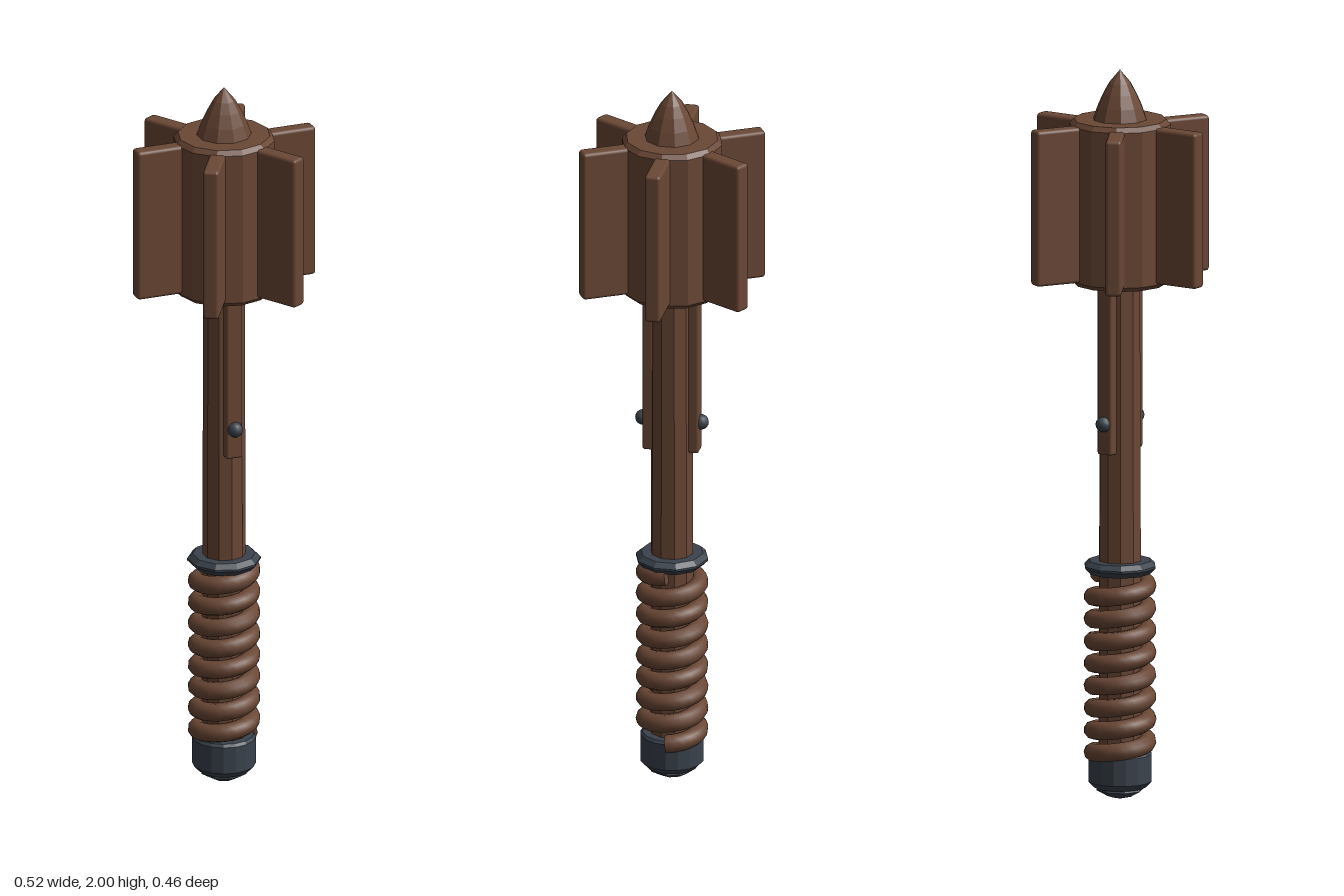
import * as THREE from 'three';
import { RoundedBoxGeometry } from 'three/addons/geometries/RoundedBoxGeometry.js';

const wood = new THREE.MeshStandardMaterial({ color: 0x6a4735 });
wood.name = 'brown';
const iron = new THREE.MeshStandardMaterial({ color: 0x3a424c });
iron.name = 'darkIron';

// Faceted surface of revolution from a bottom-to-top profile of [radius, y]
function turned(name, profile, sides, material) {
  const points = profile.map(([r, y]) => new THREE.Vector2(r, y));
  const geometry = new THREE.LatheGeometry(points, sides).toNonIndexed();
  geometry.computeVertexNormals();
  const mesh = new THREE.Mesh(geometry, material);
  mesh.name = name;
  return mesh;
}

function block(name, w, h, d, bevel) {
  const mesh = new THREE.Mesh(new RoundedBoxGeometry(w, h, d, 2, bevel), wood);
  mesh.name = name;
  return mesh;
}

// Spiral cord that winds up the handle
class Spiral extends THREE.Curve {
  getPoint(t, target = new THREE.Vector3()) {
    const a = t * 8 * Math.PI * 2;
    return target.set(0.073 * Math.cos(a), 0.122 + 0.488 * t, -0.073 * Math.sin(a));
  }
}

export function createModel() {
  const model = new THREE.Group();
  model.name = 'flangedMace';

  // Shaft
  model.add(turned('shaft', [[0, 0.05], [0.06, 0.05], [0.056, 1.43], [0, 1.43]], 10, wood));

  // Pommel with its small end nut
  model.add(turned('pommel', [[0, 0.033], [0.07, 0.033], [0.086, 0.05], [0.086, 0.125], [0.08, 0.133], [0, 0.133]], 16, iron));
  model.add(turned('pommelNut', [[0, 0], [0.035, 0.009], [0.065, 0.026], [0.06, 0.036], [0, 0.04]], 8, iron));

  // Grip cord and its end caps
  const path = new Spiral();
  const grip = new THREE.Mesh(new THREE.TubeGeometry(path, 192, 0.025, 10), wood);
  grip.name = 'gripCord';
  model.add(grip);
  for (const t of [0, 1]) {
    const cap = new THREE.Mesh(new THREE.CircleGeometry(0.025, 10), wood);
    const out = path.getTangent(t).multiplyScalar(t ? 1 : -1);
    cap.position.copy(path.getPoint(t));
    cap.quaternion.setFromUnitVectors(new THREE.Vector3(0, 0, 1), out);
    cap.name = 'cordEnd';
    model.add(cap);
  }

  // Collar above the grip
  model.add(turned('collar', [[0.05, 0.62], [0.083, 0.62], [0.099, 0.636], [0.099, 0.642], [0.085, 0.655], [0.05, 0.655]], 10, iron));

  // Straps and rivets on the front and back of the shaft
  for (const side of [1, -1]) {
    const strap = block('strap', 0.046, 0.47, 0.03, 0.006);
    strap.position.set(0, 1.19, side * 0.062);
    const rivet = new THREE.Mesh(new THREE.SphereGeometry(0.021, 12, 8), iron);
    rivet.name = 'rivet';
    rivet.position.set(0, 1.04, side * 0.08);
    model.add(strap, rivet);
  }

  // Head core
  model.add(turned('headCore', [[0, 1.415], [0.125, 1.415], [0.137, 1.427], [0.137, 1.852], [0.125, 1.865], [0, 1.865]], 12, wood));

  // Six flanges around the head
  for (let i = 0; i < 6; i++) {
    const arm = new THREE.Group();
    arm.name = 'flangeArm';
    const flange = block('flange', 0.178, 0.426, 0.044, 0.009);
    flange.position.set(0.169, 1.642, 0);
    arm.add(flange);
    arm.rotation.y = i * Math.PI / 3;
    model.add(arm);
  }

  // Top spike
  model.add(turned('spike', [[0.075, 1.862], [0.062, 1.9], [0.046, 1.935], [0.03, 1.964], [0, 2]], 10, wood));

  return model;
}
